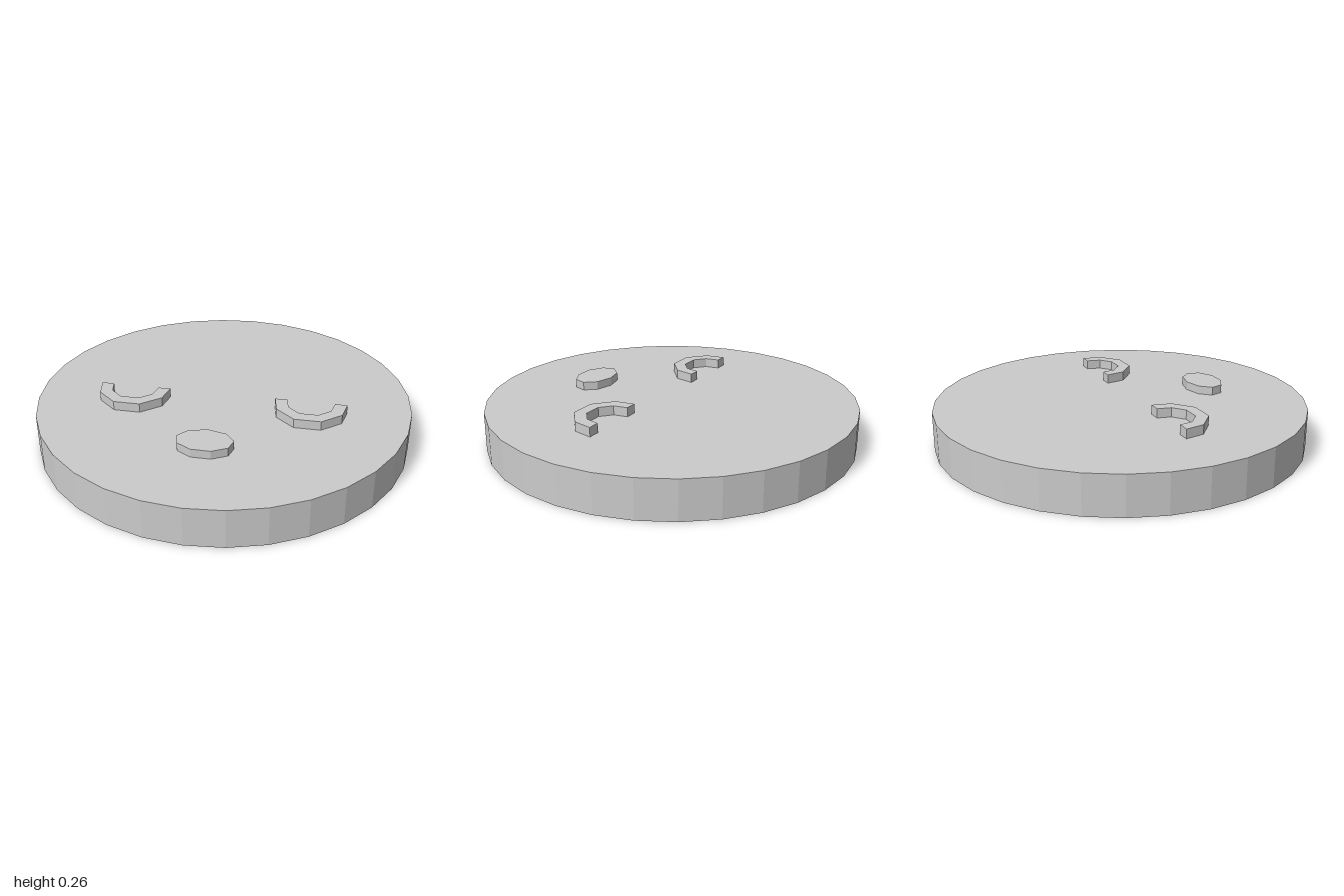
import * as THREE from 'three';

export function createModel() {
  const group = new THREE.Group();
  const material = new THREE.MeshStandardMaterial({ color: 0xcccccc, flatShading: true });
  const add = (name, geometry, x, y, z) => {
    const mesh = new THREE.Mesh(geometry, material);
    mesh.name = name;
    mesh.position.set(x, y, z);
    group.add(mesh);
    return mesh;
  };

  // Round face plate
  const plateTop = 0.21;
  add('facePlate', new THREE.CylinderGeometry(1, 1, plateTop, 32), 0, plateTop / 2, 0);

  // Closed eyes: U-shaped raised bands, half outline mirrored (x, z)
  const half = [[0.07, 0.24], [0.17, 0.155], [0.19, 0.05], [0.125, 0.05], [0.11, 0.125], [0.048, 0.177]];
  const outline = [...half, ...half.map(([x, z]) => [-x, z]).reverse()];
  const eyeShape = new THREE.Shape(outline.map(([x, z]) => new THREE.Vector2(x, z)));
  const eyeTop = 0.26;
  const eyeGeometry = new THREE.ExtrudeGeometry(eyeShape, { depth: eyeTop - plateTop, bevelEnabled: false });
  eyeGeometry.rotateX(Math.PI / 2); // outline lies flat, thickness runs down
  add('leftEye', eyeGeometry, 0.475, eyeTop, 0);
  add('rightEye', eyeGeometry, -0.475, eyeTop, 0);

  // Oval nine-sided mouth, one corner pointing back
  const mouthHeight = 0.045;
  const mouthGeometry = new THREE.CylinderGeometry(1, 1, mouthHeight, 9);
  mouthGeometry.rotateY(Math.PI).scale(0.147, 1, 0.098);
  add('mouth', mouthGeometry, 0, plateTop + mouthHeight / 2, 0.508);

  return group;
}
